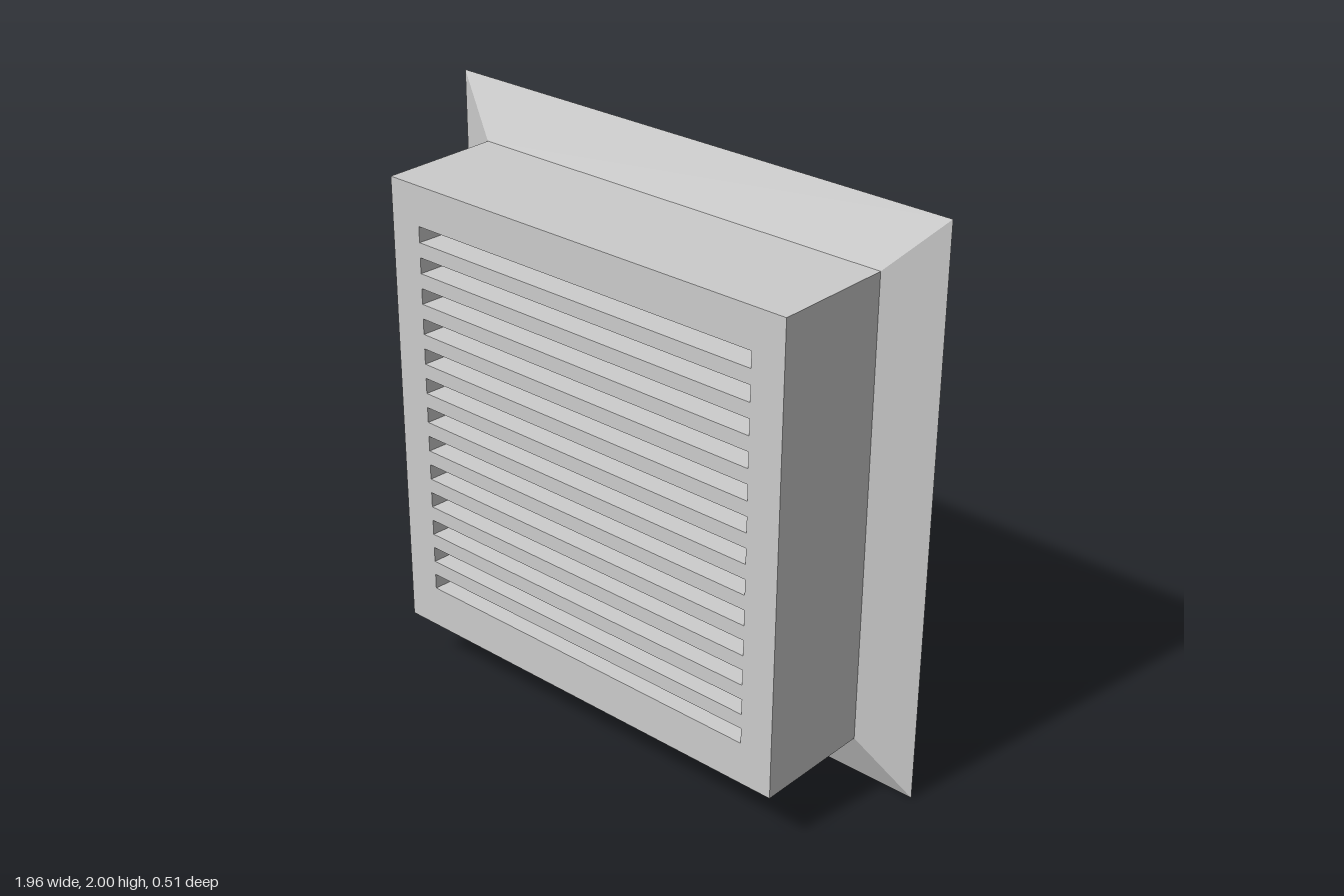
import * as THREE from 'three';

const material = new THREE.MeshStandardMaterial({ color: 0xcccccc, flatShading: true });

const HALF_W = 0.80, BOTTOM = 0.19, TOP = 1.815;   // housing outline
const FRONT = 0.255, JOINT = -0.175, BACK = -0.255; // depth levels
const SLOT_DEPTH = 0.2, SLOTS = 13;

function add(group, name, geometry) {
  geometry.computeVertexNormals();
  const mesh = new THREE.Mesh(geometry, material);
  mesh.name = name;
  group.add(mesh);
}

function rectangle(target, x, y0, y1) {
  target.moveTo(-x, y0);
  target.lineTo(x, y0);
  target.lineTo(x, y1);
  target.lineTo(-x, y1);
  target.closePath();
  return target;
}

// Front panel pierced by a column of slots whose ends and floors taper inwards
function louverPanel() {
  const shape = rectangle(new THREE.Shape(), HALF_W, BOTTOM, TOP);
  const floors = [];
  for (let i = 0; i < SLOTS; i++) {
    const y = 0.34 + i * 0.1068;
    floors.push(y);
    shape.holes.push(rectangle(new THREE.Path(), 0.68, y, y + 0.055));
  }
  const geometry = new THREE.ExtrudeGeometry(shape, { depth: SLOT_DEPTH, bevelEnabled: false });
  const p = geometry.attributes.position;
  for (let i = 0; i < p.count; i++) {
    if (p.getZ(i) > 0.01 || Math.abs(p.getX(i)) > 0.7) continue;
    p.setX(i, Math.sign(p.getX(i)) * 0.66);
    if (floors.some((y) => Math.abs(y - p.getY(i)) < 0.001)) p.setY(i, p.getY(i) + 0.005);
  }
  return geometry.translate(0, 0, FRONT - SLOT_DEPTH);
}

// Solid rear part of the housing, closing the slots from behind
function housingBody() {
  const depth = FRONT - SLOT_DEPTH - JOINT;
  return new THREE.BoxGeometry(HALF_W * 2, TOP - BOTTOM, depth)
    .translate(0, (TOP + BOTTOM) / 2, JOINT + depth / 2);
}

// Mounting flange: a slab whose front narrows to the housing outline
function flange() {
  const geometry = new THREE.BoxGeometry(1.96, 2, JOINT - BACK).translate(0, 1, (JOINT + BACK) / 2);
  const p = geometry.attributes.position;
  for (let i = 0; i < p.count; i++) {
    if (p.getZ(i) < (JOINT + BACK) / 2) continue;
    p.setX(i, Math.sign(p.getX(i)) * HALF_W);
    p.setY(i, p.getY(i) > 1 ? TOP : BOTTOM);
  }
  return geometry;
}

export function createModel() {
  const group = new THREE.Group();
  group.name = 'louveredVent';
  add(group, 'louverPanel', louverPanel());
  add(group, 'housingBody', housingBody());
  add(group, 'mountingFlange', flange());
  return group;
}
